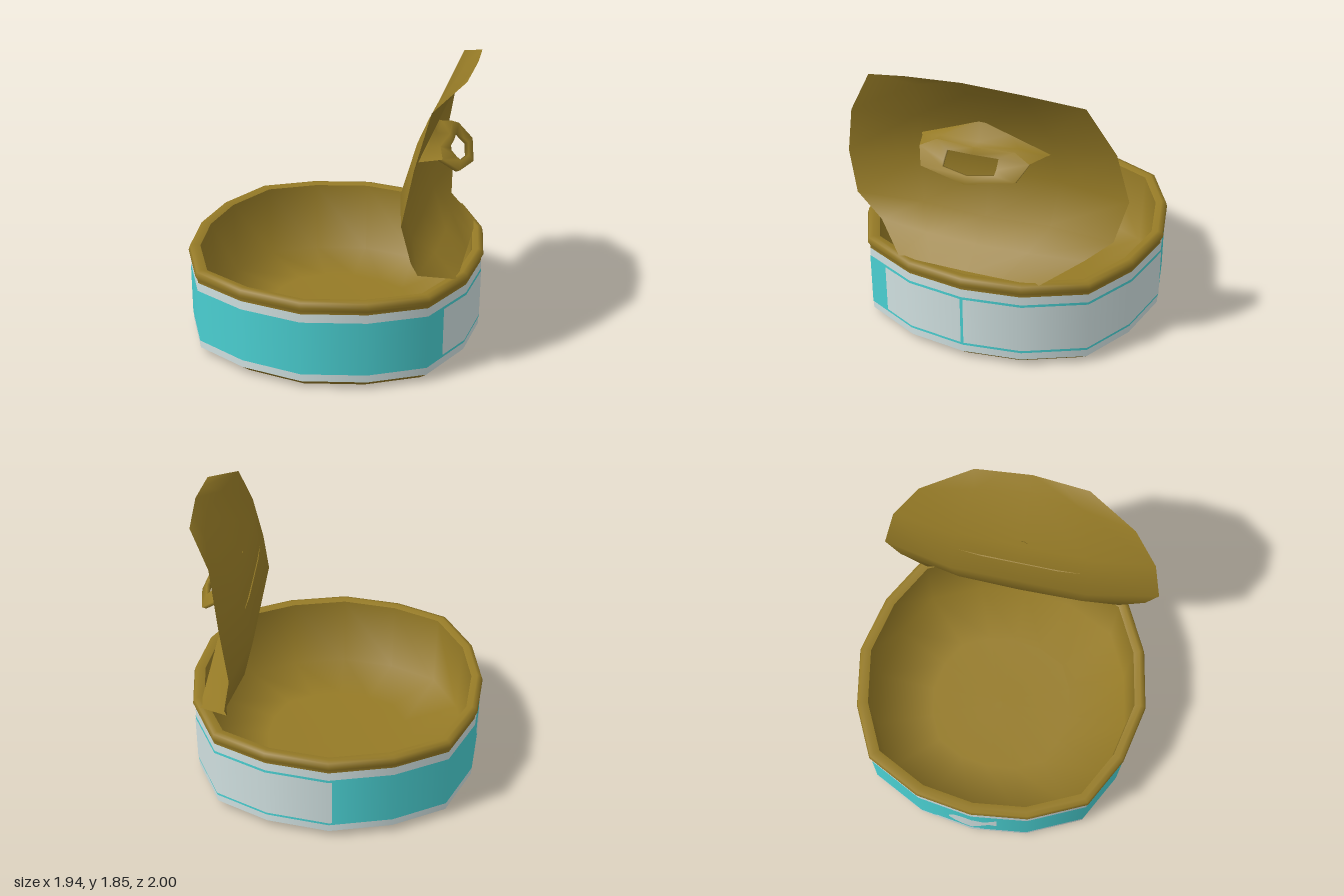
import * as THREE from 'three';
import { mergeVertices } from 'three/addons/utils/BufferGeometryUtils.js';

const gold = new THREE.MeshStandardMaterial({ color: 0x957a26, side: THREE.DoubleSide });
gold.name = 'gold metal';
const teal = new THREE.MeshStandardMaterial({ color: 0x4acfd1 });
teal.name = 'teal label';
const white = new THREE.MeshStandardMaterial({ color: 0xcfdfdf });
white.name = 'white label';

// One quarter of the sixteen-sided outline, from +x round to +z
const QUARTER = [[0.97, 0], [0.92, 0.375], [0.74, 0.745], [0.4, 0.92], [0, 1]];

function corner(i) {
  i = ((i % 16) + 16) % 16;
  if (i <= 4) return QUARTER[i];
  if (i <= 8) { const [x, z] = QUARTER[8 - i]; return [-x, z]; }
  const [x, z] = corner(16 - i);
  return [x, -z];
}

// Point on the outline at t (0..16, may be fractional)
function outline(t) {
  const i = Math.floor(t), k = t - i, a = corner(i), b = corner(i + 1);
  return [a[0] + (b[0] - a[0]) * k, a[1] + (b[1] - a[1]) * k];
}

// Smooth surface through rows of points
function surface(rows) {
  const n = rows[0].length, index = [];
  for (let r = 0; r < rows.length - 1; r++) {
    for (let c = 0; c < n - 1; c++) {
      const a = r * n + c, b = a + 1, d = a + n, e = d + 1;
      index.push(a, d, e, a, e, b);
    }
  }
  let geo = new THREE.BufferGeometry();
  geo.setAttribute('position', new THREE.Float32BufferAttribute(rows.flat(2), 3));
  geo.setIndex(index);
  geo = mergeVertices(geo);
  geo.computeVertexNormals();
  return geo;
}

function add(parent, name, geo, material) {
  const mesh = new THREE.Mesh(geo, material);
  mesh.name = name;
  parent.add(mesh);
}

// Closed ring from a profile of [scale, y]
function ring(profile) {
  return surface(profile.map(([s, y]) => Array.from({ length: 17 }, (_, i) => {
    const [x, z] = corner(i);
    return [x * s, y, z * s];
  })));
}

// Label piece on the wall; columns are [t, yLow, yHigh]
function wallPiece(scale, columns) {
  const row = (k) => columns.map((c) => {
    const [x, z] = outline(c[0]);
    return [x * scale, c[k], z * scale];
  });
  const geo = surface([row(1), row(2)]);
  const p = geo.attributes.position, normal = geo.attributes.normal, v = new THREE.Vector3();
  for (let i = 0; i < p.count; i++) {
    v.set(p.getX(i), 0, p.getZ(i)).normalize();
    normal.setXYZ(i, v.x, v.y, v.z);
  }
  return geo;
}

// Rectangular label piece that bends at each corner of the wall
function band(scale, t0, t1, y0, y1) {
  const ts = [t0];
  for (let i = Math.floor(t0) + 1; i < t1; i++) ts.push(i);
  ts.push(t1);
  return wallPiece(scale, ts.map((t) => [t, y0, y1]));
}

// Mirror half a row, given from the middle outward as [z, y, x]
function mirrored(half) {
  const right = half.map(([z, y, x]) => [x, y, z]);
  const left = half.slice(1).reverse().map(([z, y, x]) => [x, y, -z]);
  return [...left, ...right];
}

function createCan() {
  const can = new THREE.Group();
  can.name = 'can';
  add(can, 'bottom', ring([[0, 0], [0.925, 0]]), gold);
  add(can, 'bottomEdge', ring([[0.925, 0], [0.985, 0.05]]), gold);
  add(can, 'rim', ring([[0.982, 0.505], [0.984, 0.53], [0.998, 0.555], [0.988, 0.585],
    [0.96, 0.592], [0.92, 0.58]]), gold);
  add(can, 'inside', ring([[0.92, 0.58], [0.9, 0.08], [0.5, 0.05], [0, 0.05]]), gold);

  // Wrap-around label
  add(can, 'labelWall', band(0.985, 0, 16, 0.05, 0.51), white);
  add(can, 'labelBand', band(0.988, 0, 16, 0.1, 0.455), teal);
  add(can, 'sidePanel', band(0.991, 0.03, 1.6, 0.118, 0.44), white);
  add(can, 'backPanel', band(0.991, -4.05, -0.02, 0.118, 0.44), white);

  // Fish picture on the -x side, columns are [z, yLow, yHigh]
  const fish = [[0.17, 0.23, 0.38], [0.12, 0.25, 0.34], [0.08, 0.22, 0.31], [0.05, 0.19, 0.33],
    [0, 0.16, 0.355], [-0.06, 0.16, 0.36], [-0.12, 0.19, 0.34], [-0.16, 0.24, 0.29]];
  add(can, 'fishPicture', wallPiece(0.991, fish.map(([z, a, b]) => [8 - z / 0.37, a, b])), white);
  add(can, 'fishBase', band(0.991, 7.85, 8.7, 0.1, 0.135), white);
  return can;
}

function createLid() {
  const lid = new THREE.Group();
  lid.name = 'lid';
  // Rows of the curled sheet: half width, y edge, y middle, then x at edge, halfway and middle
  const rows = [
    [0.36, 1.82, 1.845, 0.86, 0.87, 0.88], [0.68, 1.72, 1.75, 0.705, 0.77, 0.815],
    [0.85, 1.43, 1.45, 0.64, 0.585, 0.585], [0.92, 1.11, 1.11, 0.585, 0.495, 0.495],
    [0.85, 0.85, 0.81, 0.635, 0.565, 0.565], [0.68, 0.69, 0.7, 0.65, 0.7, 0.72],
    [0.46, 0.585, 0.58, 0.86, 0.86, 0.86],
  ];
  add(lid, 'lidSheet', surface(rows.map(([w, ye, ym, xe, xh, xm]) =>
    [-1, -0.5, 0, 0.5, 1].map((u) => {
      const a = Math.abs(u), x = a === 1 ? xe : a === 0.5 ? xh : xm;
      return [x, ym + (ye - ym) * a, w * u];
    }))), gold);

  // Pull tab: a bent plate with a hole, growing from the lid
  const outer = [[0, 1.365, 0.72], [0.25, 1.365, 0.7], [0.35, 1.32, 0.73], [0.3, 1.24, 0.83], [0, 1.195, 0.877]];
  const inner = [[0, 1.33, 0.75], [0.165, 1.33, 0.745], [0.168, 1.28, 0.79], [0.165, 1.255, 0.82], [0, 1.235, 0.845]];
  const loop = (half, d) => {
    const pts = half.map(([z, y, x]) => [x - d, y - d * 0.4, z]);
    const back = pts.slice(0, -1).reverse().map(([x, y, z]) => [x, y, -z]);
    return [...pts, ...back];
  };
  add(lid, 'pullTab', surface([loop(outer, 0), loop(inner, 0), loop(inner, 0.025),
    loop(outer, 0.025), loop(outer, 0)]), gold);
  add(lid, 'tabRoot', surface([
    mirrored([[0, 1.485, 0.605], [0.17, 1.41, 0.576], [0.42, 1.31, 0.55]]),
    mirrored([[0, 1.362, 0.64], [0.25, 1.36, 0.635], [0.4, 1.31, 0.585]]),
    mirrored([[0, 1.365, 0.72], [0.25, 1.365, 0.7], [0.35, 1.32, 0.73]]),
    mirrored([[0, 1.335, 0.7], [0.25, 1.335, 0.68], [0.34, 1.31, 0.7]]),
    mirrored([[0, 1.29, 0.537], [0.25, 1.29, 0.537], [0.4, 1.3, 0.545]]),
  ]), gold);
  return lid;
}

export function createModel() {
  const model = new THREE.Group();
  model.name = 'openTin';
  model.add(createCan(), createLid());
  return model;
}
